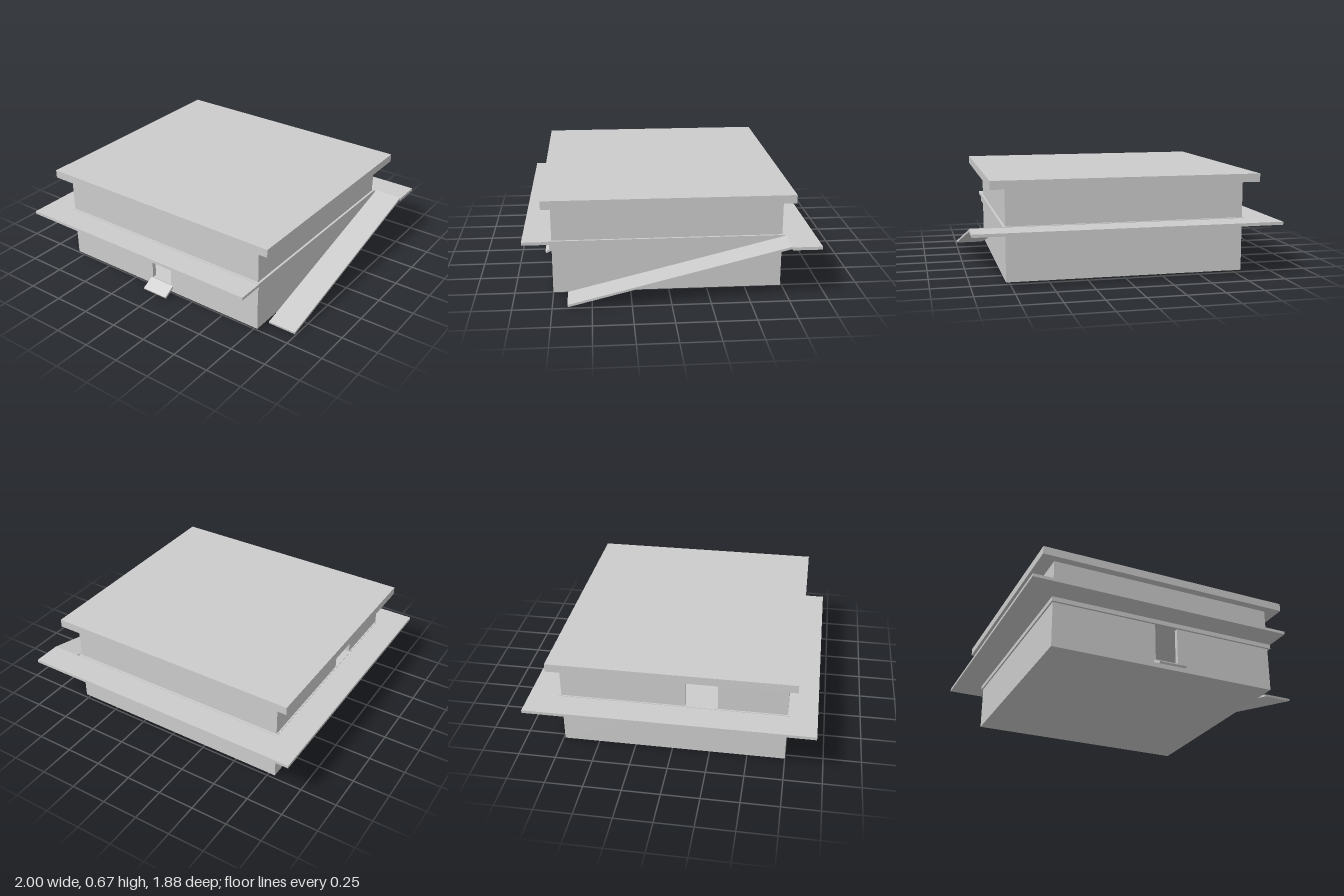
import * as THREE from 'three';

const material = new THREE.MeshStandardMaterial({ color: 0xcccccc, flatShading: true });

function addMesh(parent, name, geometry) {
  const mesh = new THREE.Mesh(geometry, material);
  mesh.name = name;
  parent.add(mesh);
  return mesh;
}

// Box given by its limits on each axis
function addBox(parent, name, [x0, x1], [y0, y1], [z0, z1]) {
  const mesh = addMesh(parent, name, new THREE.BoxGeometry(x1 - x0, y1 - y0, z1 - z0));
  mesh.position.set((x0 + x1) / 2, (y0 + y1) / 2, (z0 + z1) / 2);
  return mesh;
}

function outline(points) {
  return new THREE.Shape(points.map(([a, b]) => new THREE.Vector2(a, b)));
}

function rectangle(a0, a1, b0, b1) {
  return outline([[a0, b0], [a1, b0], [a1, b1], [a0, b1]]);
}

function extrude(shape, depth) {
  return new THREE.ExtrudeGeometry(shape, { depth, bevelEnabled: false });
}

// Profile drawn in (z, y), extruded from x0 to x1
function alongX(shape, x0, x1) {
  return extrude(shape, x1 - x0).rotateY(-Math.PI / 2).translate(x1, 0, 0);
}

// Sloping slab profile from a low point to a high point
function slope(low, high, thickness) {
  const dir = new THREE.Vector2(high[0] - low[0], high[1] - low[1]).normalize();
  const side = Math.sign(dir.x);
  const nx = dir.y * side * thickness, ny = -dir.x * side * thickness;
  return outline([low, high, [high[0] + nx, high[1] + ny], [low[0] + nx, low[1] + ny]]);
}

export function createModel() {
  const model = new THREE.Group();
  model.name = 'building';

  const X = [-0.8, 0.775], Z = [-0.735, 0.75], Y = [0.01, 0.612];
  const wall = 0.03;

  // Hollow walls: doorway at the front, upper opening on the -x side
  const walls = new THREE.Group();
  walls.name = 'walls';
  model.add(walls);

  const front = rectangle(...X, ...Y);
  front.holes.push(rectangle(-0.09, 0.07, 0.065, 0.315));
  addMesh(walls, 'frontWall', extrude(front, wall).translate(0, 0, Z[1] - wall));
  addBox(walls, 'backWall', X, Y, [Z[0], Z[0] + wall]);

  const inner = [Z[0] + wall, Z[1] - wall];
  addBox(walls, 'rampSideWall', [X[1] - wall, X[1]], Y, inner);
  const side = rectangle(...inner, ...Y);
  side.holes.push(rectangle(0.09, 0.3, 0.368, 0.61));
  addMesh(walls, 'openingSideWall', alongX(side, X[0], X[0] + wall));

  // Floors and roof
  addBox(model, 'groundFloor', [X[0] + wall, X[1] - wall], [0.01, 0.065], inner);
  addBox(model, 'upperFloor', [-0.81, 0.79], [0.315, 0.368], [-0.75, 0.765]);
  addBox(model, 'roof', [-0.895, 0.872], [0.61, 0.665], [-0.798, 0.805]);

  // Gallery around the building, widened at the back to meet the ramp
  const deck = outline([[-1, -0.94], [0.79, -0.94], [0.79, 0.755], [1, 0.755], [1, 0.945], [-1, 0.945]]);
  deck.holes.push(rectangle(-0.8, 0.78, -0.755, 0.74));
  addMesh(model, 'gallery', extrude(deck, 0.02).rotateX(-Math.PI / 2).translate(0, 0.345, 0));

  // Long outer ramp, small entrance ramp and indoor ramp
  addMesh(model, 'outerRamp', alongX(slope([0.655, 0.02], [-0.755, 0.368], 0.015), 0.8, 0.995));
  addMesh(model, 'entranceRamp', alongX(slope([0.835, 0.013], [0.745, 0.062], 0.015), -0.105, 0.085));
  addMesh(model, 'indoorRamp', extrude(slope([0.4, 0.068], [-0.2, 0.315], 0.02), 0.2).translate(0, 0, -0.7));

  return model;
}
